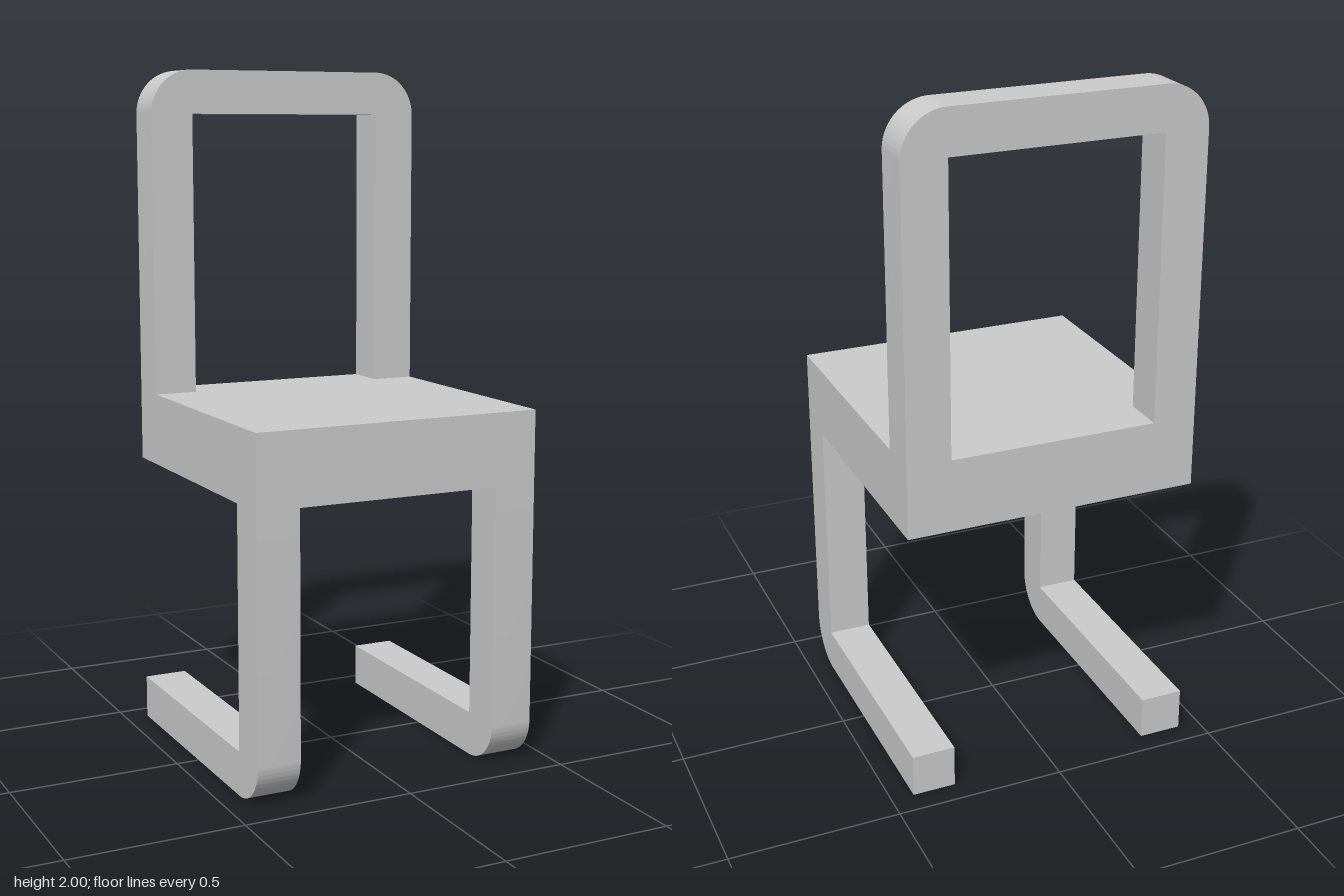
import * as THREE from 'three';
import { toCreasedNormals } from 'three/addons/utils/BufferGeometryUtils.js';

const HALF = 0.433;        // half width and half depth
const BAR = 0.128;         // thickness of the square bars
const INNER = HALF - BAR;
const SEAT_BOTTOM = 0.83, SEAT_TOP = 1.043, TOP = 2;

const material = new THREE.MeshStandardMaterial({ color: 0xcccccc });

function extrude(shape) {
  const geometry = new THREE.ExtrudeGeometry(shape, { depth: BAR, bevelEnabled: false, curveSegments: 16 });
  return toCreasedNormals(geometry, 0.5);
}

function addMesh(group, name, geometry, x, y, z) {
  const mesh = new THREE.Mesh(geometry, material);
  mesh.name = name;
  mesh.position.set(x, y, z);
  group.add(mesh);
}

// Upside-down U with rounded outer corners and square inner corners
function backrestGeometry() {
  const s = new THREE.Shape();
  s.moveTo(-HALF, SEAT_TOP);
  s.lineTo(-INNER, SEAT_TOP);
  s.lineTo(-INNER, TOP - BAR);
  s.lineTo(INNER, TOP - BAR);
  s.lineTo(INNER, SEAT_TOP);
  s.lineTo(HALF, SEAT_TOP);
  s.lineTo(HALF, TOP - BAR);
  s.absarc(INNER, TOP - BAR, BAR, 0, Math.PI / 2, false);
  s.lineTo(-INNER, TOP);
  s.absarc(-INNER, TOP - BAR, BAR, Math.PI / 2, Math.PI, false);
  s.closePath();
  return extrude(s);
}

// L-shaped leg with a floor runner, drawn in the side plane and turned to it
function legGeometry() {
  const s = new THREE.Shape();
  s.moveTo(-HALF, 0);
  s.lineTo(INNER, 0);
  s.absarc(INNER, BAR, BAR, -Math.PI / 2, 0, false);
  s.lineTo(HALF, SEAT_BOTTOM);
  s.lineTo(INNER, SEAT_BOTTOM);
  s.lineTo(INNER, BAR);
  s.lineTo(-HALF, BAR);
  s.closePath();
  return extrude(s).rotateY(-Math.PI / 2);
}

export function createModel() {
  const chair = new THREE.Group();
  chair.name = 'chair';

  // Seat block
  const seat = new THREE.BoxGeometry(2 * HALF, SEAT_TOP - SEAT_BOTTOM, 2 * HALF);
  addMesh(chair, 'seat', seat, 0, (SEAT_TOP + SEAT_BOTTOM) / 2, 0);

  // Backrest frame along the rear edge
  addMesh(chair, 'backrestFrame', backrestGeometry(), 0, 0, -HALF);

  // Front legs with runners reaching back
  const leg = legGeometry();
  addMesh(chair, 'leftLeg', leg, HALF, 0, 0);
  addMesh(chair, 'rightLeg', leg, -INNER, 0, 0);

  return chair;
}
